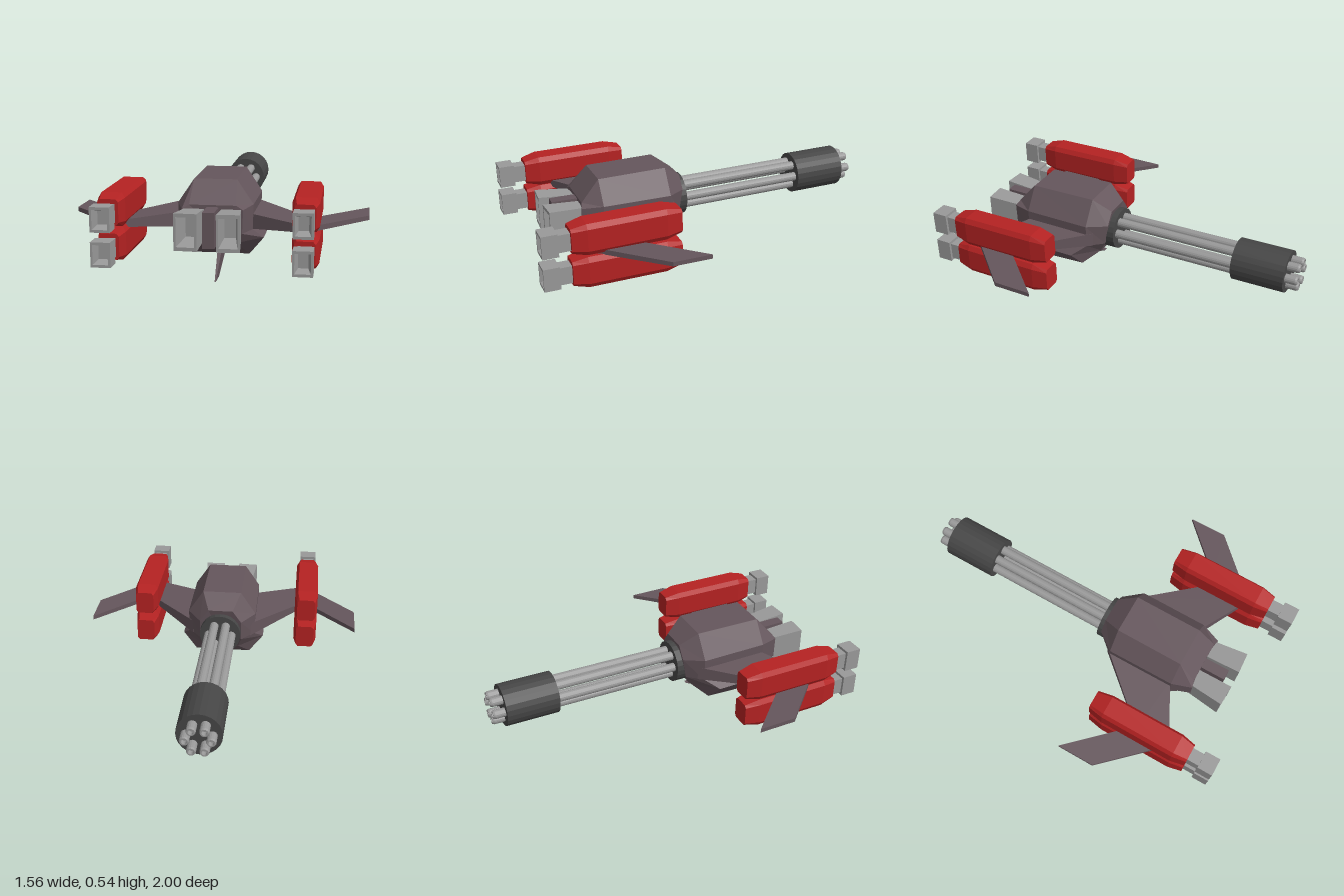
import * as THREE from 'three';

const mat = (color) => new THREE.MeshStandardMaterial({ color, flatShading: true });
const HULL = mat(0x65565c), RED = mat(0xb52222), GREY = mat(0x999999), DARK = mat(0x464646);
const steel = new THREE.MeshStandardMaterial({ color: 0x999999 });

// Skin a list of equal-length rings of [x, y, z] points and cap both ends.
// Rings run counter-clockwise when seen from the end the list moves towards.
function loft(rings) {
  const pos = [], n = rings[0].length;
  const tri = (...pts) => pts.forEach((p) => pos.push(...p));
  const centre = (r) => [0, 1, 2].map((k) => r.reduce((s, p) => s + p[k], 0) / n);
  const first = rings[0], last = rings[rings.length - 1];
  for (let j = 0; j < n; j++) {
    const k = (j + 1) % n;
    for (let i = 0; i + 1 < rings.length; i++) {
      const a = rings[i], b = rings[i + 1];
      tri(a[j], a[k], b[k], a[j], b[k], b[j]);
    }
    tri(centre(first), first[k], first[j]);
    tri(centre(last), last[j], last[k]);
  }
  const g = new THREE.BufferGeometry();
  g.setAttribute('position', new THREE.Float32BufferAttribute(pos, 3));
  g.computeVertexNormals();
  return g;
}

function add(parent, name, geometry, material, x = 0, y = 0, z = 0) {
  const m = new THREE.Mesh(geometry, material);
  m.name = name;
  m.position.set(x, y, z);
  parent.add(m);
  return m;
}

const rect = (w, h, z) => [[w, -h, z], [w, h, z], [-w, h, z], [-w, -h, z]];
// Rectangle with cut corners, w and h are half sizes
const cutRect = (w, h, cx, cy, z) => [
  [w, -h + cy, z], [w, h - cy, z], [w - cx, h, z], [-w + cx, h, z],
  [-w, h - cy, z], [-w, -h + cy, z], [-w + cx, -h, z], [w - cx, -h, z]];

// Half outline from top to bottom, mirrored to a full ring
const mirrored = (half) => [...half].reverse().concat(half.map(([x, y, z]) => [-x, y, z]));

// Mirror rings lengthwise across x
const sided = (rings, s) => (s > 0 ? rings : rings.map((r) => r.map(([x, y, z]) => [-x, y, z]).reverse()));

function addHull(g) {
  add(g, 'hull', loft([
    [[.07, .47, .1], [.12, .4, .1], [.12, .28, .12], [.1, .21, .16], [.06, .19, .17]],
    [[.11, .542, .2], [.197, .41, .2], [.19, .28, .2], [.24, .22, .28], [.16, .13, .25]],
    [[.11, .536, .58], [.195, .41, .58], [.19, .28, .58], [.24, .22, .5], [.16, .12, .46]],
    [[.12, .42, .68], [.155, .4, .69], [.15, .28, .69], [.12, .23, .68], [.06, .21, .66]],
  ].map(mirrored)), HULL);
  add(g, 'noseBlock', new THREE.BoxGeometry(.06, .18, .16), HULL, 0, .32, .74);
  // Lower fin, thick at the hull and sharp at the tip
  add(g, 'lowerFin', loft([
    [[-.003, 0, .5], [-.003, 0, .61], [.003, 0, .61], [.003, 0, .5]],
    [[-.012, .15, .18], [-.012, .15, .44], [.012, .15, .44], [.012, .15, .18]],
  ]), HULL);
}

// Swept back to the pods, then swept away again to the tips
function addWing(g, s) {
  const section = (x, y0, y1, z0, z1) => [[x, y0, z0], [x, y1, z0], [x, y1, z1], [x, y0, z1]];
  const rings = [
    section(.17, .28, .36, .17, .565),
    section(.49, .305, .336, .53, .735),
    section(.52, .307, .335, .48, .69),
    section(.78, .312, .335, .21, .42),
  ];
  add(g, s > 0 ? 'leftWing' : 'rightWing', loft(sided(rings, s)), HULL);
}

// Square nozzle with a tapering hollow mouth, facing +z
const nozzle = (w, h, d, k, back = 1) => loft([
  rect(w * back, h * back, 0), rect(w, h, d), rect(w * k, h * k, d), rect(w * .5, h * .55, d * .35)]);

// Engine nozzles beside the nose block
function addEngine(g, s) {
  const m = add(g, 'engineNozzle', nozzle(.058, .093, .2, .8, .85), GREY, s * .093, .32, .67);
  m.rotation.y = s * .06;
}

function addPod(g, x, y, tilt) {
  const pod = new THREE.Group();
  pod.name = 'weaponPod';
  pod.position.set(x, y, .56);
  pod.rotation.x = tilt;
  g.add(pod);
  add(pod, 'podCasing', loft([
    cutRect(.052, .066, .012, .015, -.295),
    cutRect(.067, .085, .016, .026, -.21),
    cutRect(.067, .085, .016, .026, .21),
    cutRect(.052, .066, .012, .015, .29),
  ]), RED);
  add(pod, 'podNeck', new THREE.BoxGeometry(.07, .095, .1), GREY, 0, -.004, .325);
  add(pod, 'podNozzle', nozzle(.049, .062, .085, .78), GREY, 0, -.004, .355);
}

function addGun(g) {
  const gun = new THREE.Group();
  gun.name = 'rotaryGun';
  gun.position.set(0, .33, .1);
  gun.rotation.x = .014;
  g.add(gun);
  const rod = (r, len) => new THREE.CylinderGeometry(r, r, len, 24).rotateX(Math.PI / 2);
  add(gun, 'collar', rod(.118, .14), DARK, 0, 0, .04);
  add(gun, 'muzzleDrum', rod(.117, .295), DARK, 0, 0, -.885);
  // Barrel with a shallow bore at the muzzle
  const outline = [[0, 0], [.025, 0], [.025, 1.09], [.021, 1.1], [.014, 1.1], [.014, 1.07], [0, 1.07]]
    .map(([r, y]) => new THREE.Vector2(r, y));
  const barrel = new THREE.LatheGeometry(outline, 16).rotateX(-Math.PI / 2);
  const flat = steel.clone();
  flat.flatShading = true;
  for (let i = 0; i < 6; i++) {
    const a = (i * Math.PI) / 3;
    add(gun, 'barrel', barrel, flat, .066 * Math.cos(a), .066 * Math.sin(a), 0);
  }
}

export function createModel() {
  const g = new THREE.Group();
  g.name = 'gunship';
  addHull(g);
  addGun(g);
  for (const s of [1, -1]) {
    addWing(g, s);
    addEngine(g, s);
    const x = s > 0 ? .472 : -.49;
    addPod(g, x, .408, .013);
    addPod(g, x, s > 0 ? .226 : .234, .006);
  }
  return g;
}
